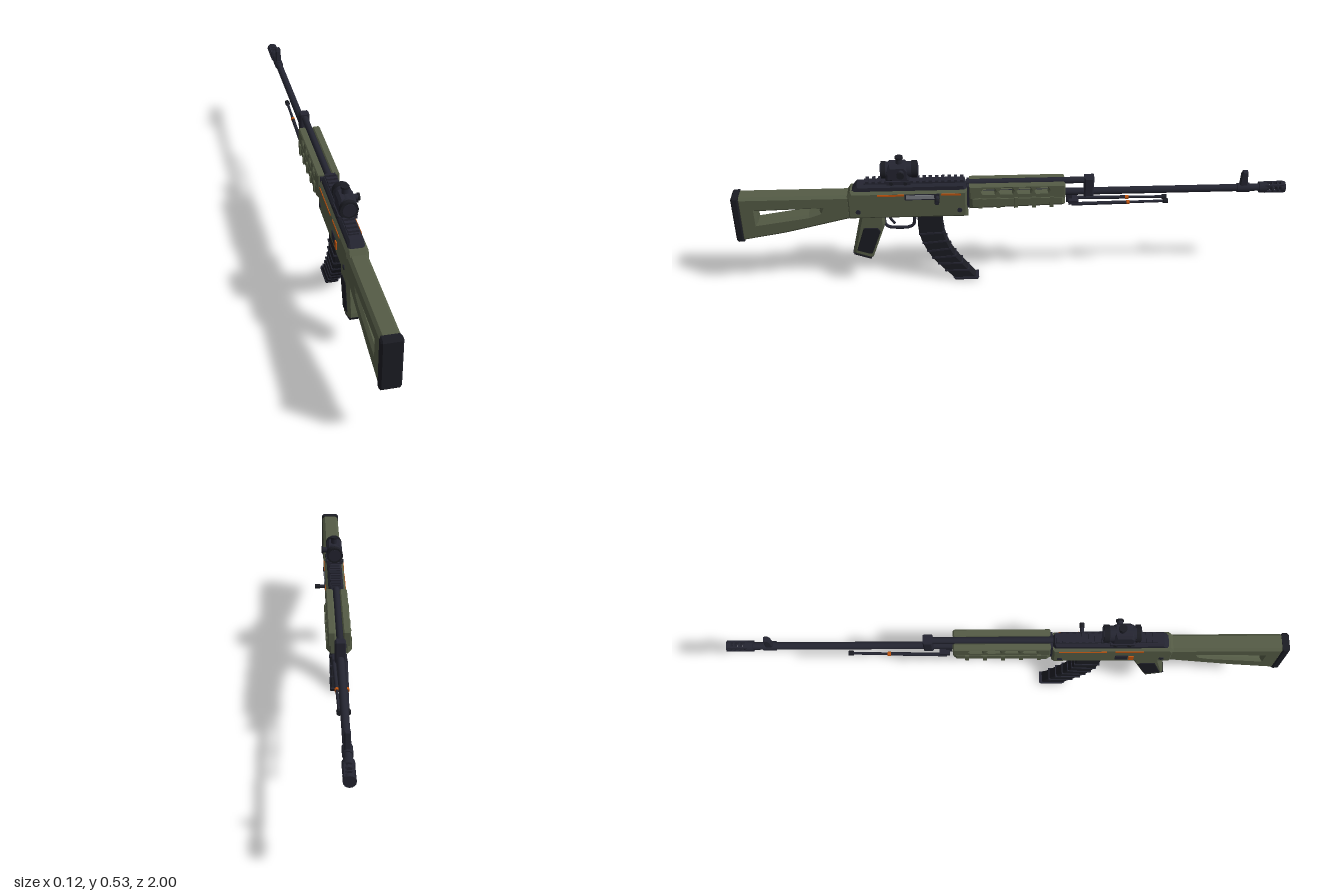
import * as THREE from 'three';

const mat = (name, color) => Object.assign(new THREE.MeshStandardMaterial({ color }), { name });

export function createModel() {
  const olive = mat('olive polymer', 0x555c46);
  const metal = mat('dark gunmetal', 0x242531);
  const rubber = mat('black rubber', 0x1b1c23);
  const steel = mat('bare steel', 0x7c7f85);
  const orange = mat('orange accent', 0xc4560f);

  const model = new THREE.Group();
  model.name = 'rifle';
  model.position.x = -0.017; // the charging handle offsets the bounds

  const add = (name, geo, material, x = 0, y = 0, z = 0) => {
    const m = new THREE.Mesh(geo, material);
    m.name = name;
    m.position.set(x, y, z);
    model.add(m);
    return m;
  };
  const box = (name, material, w, h, d, x, y, z) =>
    add(name, new THREE.BoxGeometry(w, h, d), material, x, y, z);
  // cylinder along z between two stations
  const rod = (name, material, r, z0, z1, y, x = 0, r1 = r, n = 16) =>
    add(name, new THREE.CylinderGeometry(r, r1, Math.abs(z1 - z0), n).rotateX(Math.PI / 2), material, x, y, (z0 + z1) / 2);
  // cylinder along x
  const pin = (name, material, r, len, x, y, z, n = 16) =>
    add(name, new THREE.CylinderGeometry(r, r, len, n).rotateZ(Math.PI / 2), material, x, y, z);
  // side profile of [z, y] points, extruded across x with chamfered edges
  const toV = (pts) => pts.map(([z, y]) => new THREE.Vector2(z, y));
  const slab = (name, material, pts, width, bevel = 0, holes = [], x = 0) => {
    const shape = new THREE.Shape(toV(pts));
    holes.forEach((h) => shape.holes.push(new THREE.Path(toV(h))));
    const depth = width - 2 * bevel;
    const geo = new THREE.ExtrudeGeometry(shape, {
      depth, bevelEnabled: bevel > 0, bevelThickness: bevel, bevelSize: bevel, bevelOffset: -bevel, bevelSegments: 1,
    });
    geo.translate(0, 0, -depth / 2).rotateY(-Math.PI / 2);
    return add(name, geo, material, x);
  };
  const tube = (name, material, pts, r) =>
    add(name, new THREE.TubeGeometry(new THREE.CatmullRomCurve3(pts.map((p) => new THREE.Vector3(...p)), false, 'catmullrom', 0.3), 24, r, 8), material);

  // Stock with cut-out and butt pad
  slab('stock', olive, [[0.98, 0.392], [0.575, 0.392], [0.575, 0.295], [0.82, 0.236], [0.98, 0.208]], 0.066, 0.01,
    [[[0.915, 0.332], [0.915, 0.284], [0.73, 0.313], [0.69, 0.328], [0.685, 0.338]]]);
  slab('buttPad', rubber, [[1, 0.386], [0.994, 0.394], [0.972, 0.394], [0.972, 0.204], [0.994, 0.204], [1, 0.212]], 0.07, 0.006);

  // Receiver, top cover and rail
  slab('receiver', olive, [[0.59, 0.385], [0.575, 0.408], [0.155, 0.408], [0.155, 0.294], [0.585, 0.294], [0.59, 0.3]], 0.074, 0.01);
  slab('topCover', metal, [[0.575, 0.4], [0.55, 0.43], [0.165, 0.43], [0.157, 0.4]], 0.056, 0.008);
  box('rail', metal, 0.034, 0.006, 0.36, 0, 0.432, 0.345);
  for (let i = 0; i < 16; i++) box('railTooth', metal, 0.038, 0.009, 0.012, 0, 0.438, 0.175 + i * 0.0225);
  for (const s of [1, -1]) {
    for (const z of [0.55, 0.185]) pin('receiverPin', metal, 0.009, 0.006, s * 0.037, 0.327, z);
    box('rearStripe', orange, 0.003, 0.007, s > 0 ? 0.095 : 0.1, s * 0.0375, 0.394, 0.43);
    box('frontStripe', orange, 0.003, 0.007, s > 0 ? 0.07 : 0.17, s * 0.0375, 0.394, s > 0 ? 0.215 : 0.265);
  }
  // Bolt and charging handle on the left, selector on the other side
  box('ejectionPort', metal, 0.004, 0.024, 0.125, 0.037, 0.386, 0.318);
  box('bolt', steel, 0.007, 0.016, 0.1, 0.038, 0.387, 0.325);
  pin('chargingHandle', metal, 0.007, 0.042, 0.056, 0.384, 0.265);
  pin('chargingKnob', rubber, 0.0085, 0.018, 0.068, 0.384, 0.265);
  box('selectorPlate', metal, 0.005, 0.032, 0.045, -0.038, 0.34, 0.405);
  box('selectorMark', orange, 0.006, 0.028, 0.018, -0.038, 0.336, 0.44);

  // Pistol grip
  slab('grip', olive, [[0.545, 0.305], [0.46, 0.305], [0.458, 0.262], [0.51, 0.118], [0.519, 0.112], [0.582, 0.136], [0.58, 0.155]], 0.056, 0.009);
  slab('gripBase', rubber, [[0.584, 0.14], [0.516, 0.117], [0.519, 0.108], [0.58, 0.13]], 0.05, 0.002);
  for (const s of [1, -1]) {
    slab('gripPanel', rubber, [[0.537, 0.25], [0.487, 0.25], [0.476, 0.235], [0.512, 0.138], [0.522, 0.136], [0.568, 0.152]], 0.006, 0.002, [], s * 0.028);
  }

  // Trigger and guard
  tube('triggerGuard', metal, [[0, 0.3, 0.463], [0, 0.25, 0.46], [0, 0.234, 0.44], [0, 0.232, 0.38], [0, 0.246, 0.355], [0, 0.3, 0.35]], 0.006);
  tube('trigger', metal, [[0, 0.3, 0.435], [0, 0.275, 0.44], [0, 0.25, 0.425]], 0.005);

  // Curved magazine with ribs and floor plate
  const curve = (pts) => new THREE.SplineCurve(toV(pts));
  const back = curve([[0.34, 0.305], [0.336, 0.21], [0.307, 0.13], [0.267, 0.07], [0.212, 0.008]]);
  const front = curve([[0.25, 0.305], [0.245, 0.215], [0.221, 0.14], [0.176, 0.07], [0.128, 0.008]]);
  const outline = [...back.getPoints(12), ...front.getPoints(12).reverse()].map((p) => [p.x, p.y]);
  slab('magazine', rubber, outline, 0.042, 0.004);
  for (let i = 1; i < 7; i++) {
    const a = back.getPoint(0.12 + i * 0.12), b = front.getPoint(0.12 + i * 0.12);
    const rib = box('magazineRib', metal, 0.047, 0.007, a.distanceTo(b) + 0.003, 0, (a.y + b.y) / 2, (a.x + b.x) / 2);
    rib.rotation.x = -Math.atan2(a.y - b.y, a.x - b.x);
  }
  slab('magazineFloor', metal, [[0.218, 0.012], [0.21, 0], [0.125, 0], [0.12, 0.012]], 0.048, 0.003);

  // Handguard: lower shell and two slotted side panels around the gas tube
  slab('handguardLower', olive, [[0.15, 0.385], [-0.195, 0.385], [-0.195, 0.341], [-0.185, 0.336], [0.15, 0.328]], 0.084, 0.012);
  box('handguardCollar', metal, 0.06, 0.09, 0.012, 0, 0.376, 0.152);
  const slots = [0, 1, 2, 3].map((i) => {
    const z = 0.08 - i * 0.064;
    return [[z + 0.02, 0.394], [z + 0.025, 0.404], [z + 0.019, 0.415], [z - 0.019, 0.415], [z - 0.025, 0.404], [z - 0.02, 0.394]];
  });
  for (const s of [1, -1]) {
    slab('handguardPanel', olive, [[0.15, 0.425], [-0.19, 0.425], [-0.195, 0.42], [-0.195, 0.37], [0.15, 0.37]], 0.027, 0.004, slots, s * 0.0265);
    for (let i = 0; i < 5; i++) box('handguardRib', olive, 0.008, 0.042, 0.014, s * 0.0415, 0.357, 0.11 - i * 0.064);
  }

  // Barrel, gas system and front sight
  rod('barrel', metal, 0.0135, 0.16, -0.94, 0.372);
  rod('gasTube', metal, 0.012, 0.16, -0.29, 0.42);
  slab('gasBlock', metal, [[-0.265, 0.436], [-0.3, 0.436], [-0.3, 0.358], [-0.265, 0.358]], 0.038, 0.005);
  rod('sightBand', metal, 0.017, -0.825, -0.87, 0.372);
  slab('frontSight', metal, [[-0.833, 0.38], [-0.836, 0.43], [-0.841, 0.441], [-0.858, 0.441], [-0.862, 0.38]], 0.02, 0.003);

  // Muzzle brake: rings joined by four bars, leaving open ports
  rod('brakeSleeve', metal, 0.02, -0.905, -0.932, 0.372);
  for (let i = 0; i < 3; i++) {
    const z = -0.95 - i * 0.019;
    rod('brakeRing', metal, 0.02, z, z - 0.006, 0.372);
  }
  rod('brakeCrown', metal, 0.02, -0.984, -1, 0.372);
  for (const sx of [1, -1]) for (const sy of [1, -1]) {
    box('brakeBar', metal, 0.008, 0.008, 0.07, sx * 0.0115, 0.372 + sy * 0.0115, -0.96);
  }

  // Folded bipod under the barrel
  box('bipodMount', metal, 0.05, 0.016, 0.036, 0, 0.338, -0.227);
  box('bipodHanger', metal, 0.018, 0.04, 0.02, 0, 0.352, -0.212);
  for (const s of [1, -1]) {
    const leg = new THREE.Group();
    leg.name = 'bipodLeg';
    leg.position.set(s * 0.021, 0.331, -0.22);
    leg.rotation.y = s * 0.02;
    for (const [name, m, r, a, b] of [
      ['upperLeg', metal, 0.0065, 0, -0.2], ['legBand', orange, 0.0075, -0.2, -0.212],
      ['lowerLeg', metal, 0.005, -0.212, -0.34], ['foot', rubber, 0.009, -0.335, -0.352],
    ]) leg.add(rod(name, m, r, a, b, 0, 0));
    model.add(leg);
  }

  // Optic: clamp, housing, tube and turrets
  box('opticClamp', metal, 0.062, 0.014, 0.085, 0, 0.441, 0.4);
  for (const z of [0.375, 0.425]) pin('clampScrew', rubber, 0.007, 0.07, 0, 0.441, z, 12);
  slab('opticHousing', metal, [[0.446, 0.445], [0.446, 0.49], [0.43, 0.508], [0.375, 0.508], [0.36, 0.49], [0.36, 0.445]], 0.058, 0.009);
  rod('opticTube', metal, 0.028, 0.45, 0.345, 0.481, 0, 0.028, 24);
  rod('eyepiece', rubber, 0.031, 0.46, 0.444, 0.481, 0, 0.031, 24);
  rod('objectiveRing', rubber, 0.031, 0.352, 0.332, 0.481, 0, 0.031, 24);
  rod('rearLens', metal, 0.023, 0.463, 0.459, 0.481, 0, 0.023, 24);
  rod('frontLens', metal, 0.023, 0.333, 0.329, 0.481, 0, 0.023, 24);
  add('topTurret', new THREE.CylinderGeometry(0.012, 0.012, 0.03, 16), metal, 0, 0.515, 0.395);
  add('topTurretCap', new THREE.CylinderGeometry(0.0145, 0.0145, 0.007, 16), rubber, 0, 0.5295, 0.395);
  pin('sideTurret', metal, 0.011, 0.024, 0.036, 0.482, 0.39);
  pin('sideTurretCap', rubber, 0.0135, 0.007, 0.0465, 0.482, 0.39);

  return model;
}
